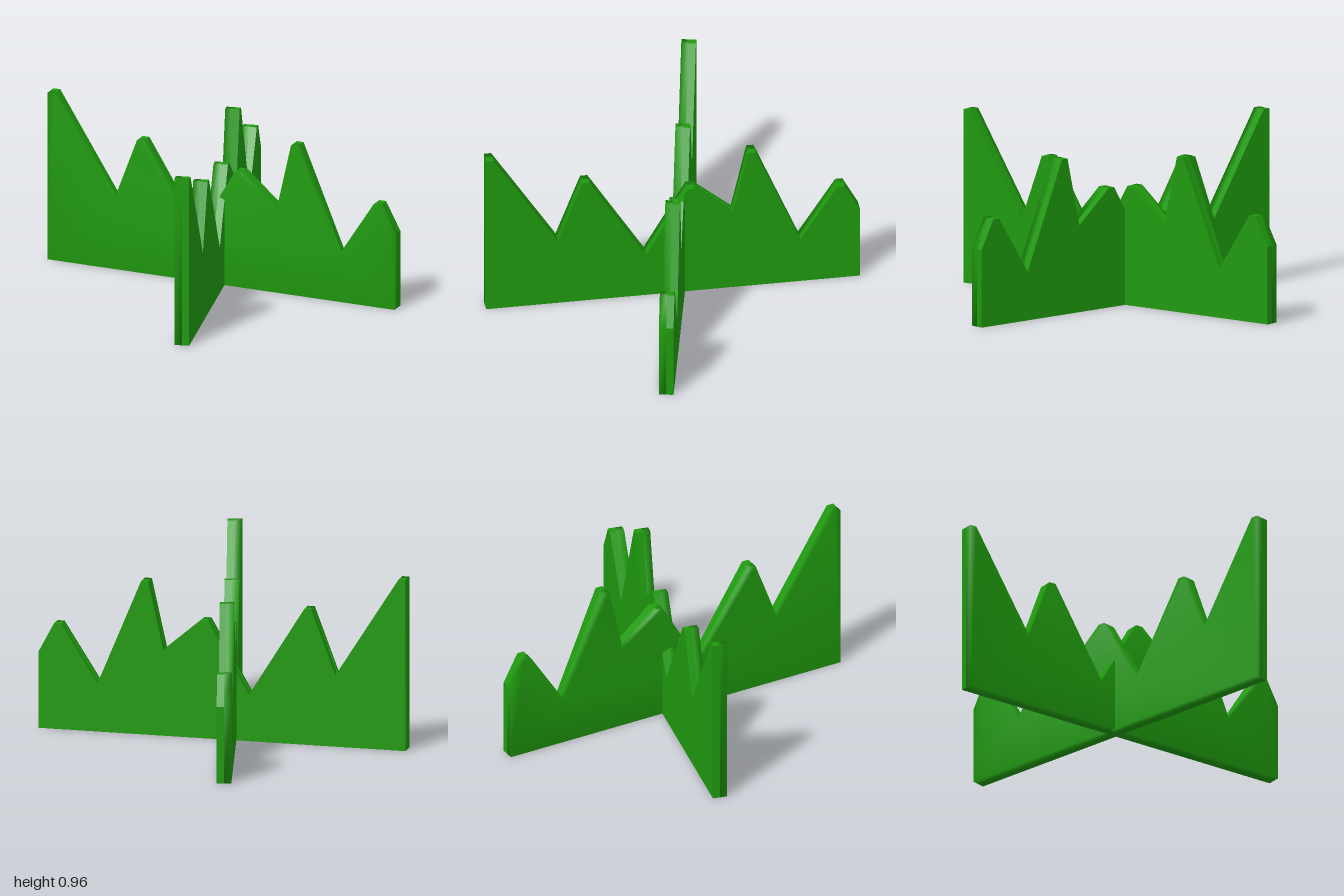
import * as THREE from 'three';
import { mergeVertices } from 'three/addons/utils/BufferGeometryUtils.js';

const HALF = 0.04; // half the thickness of a slab

// Jagged grass outline: distance along the slab, height
const OUTLINE = [
  [-1.03, 0], [1.03, 0], [1.03, 0.43], [0.945, 0.59], [0.905, 0.59], [0.70, 0.27],
  [0.455, 0.86], [0.415, 0.86], [0.33, 0.48], [0.12, 0.66], [0.08, 0.66], [-0.15, 0.26],
  [-0.46, 0.76], [-0.50, 0.76], [-0.635, 0.40], [-0.99, 0.96], [-1.03, 0.96],
];

const material = new THREE.MeshStandardMaterial({ color: 0x1f9a0e });

// One half of a slab, on the +z (side 1) or -z (side -1) side of its middle plane
function halfSlab(side, smooth) {
  const shape = new THREE.Shape(OUTLINE.map(([x, y]) => new THREE.Vector2(x, y)));
  const solid = new THREE.ExtrudeGeometry(shape, { depth: HALF, bevelEnabled: false });
  if (side < 0) solid.translate(0, 0, -HALF);

  // Drop the hidden cap on the middle plane
  const p = solid.attributes.position;
  const kept = [];
  for (let i = 0; i < p.count; i += 3) {
    const corners = [i, i + 1, i + 2];
    if (corners.every((c) => Math.abs(p.getZ(c)) < 1e-5)) continue;
    for (const c of corners) kept.push(p.getX(c), p.getY(c), p.getZ(c));
  }
  let geometry = new THREE.BufferGeometry();
  geometry.setAttribute('position', new THREE.Float32BufferAttribute(kept, 3));
  if (smooth) geometry = mergeVertices(geometry); // shared corners give soft shading
  geometry.computeVertexNormals();
  return geometry;
}

// A whole slab: one softly shaded half and one flat half
function grassSlab(name, smoothSide) {
  const slab = new THREE.Group();
  slab.name = name;
  for (const side of [1, -1]) {
    const mesh = new THREE.Mesh(halfSlab(side, side === smoothSide), material);
    mesh.name = side > 0 ? 'frontHalf' : 'backHalf';
    slab.add(mesh);
  }
  return slab;
}

export function createModel() {
  const model = new THREE.Group();
  model.name = 'grassTuft';

  // Slab running mostly front to back
  const lengthwise = grassSlab('lengthwiseBlades', -1);
  lengthwise.rotation.y = 1.286;
  lengthwise.position.set(-0.035, 0, 0);

  // Slab running mostly side to side
  const crosswise = grassSlab('crosswiseBlades', 1);
  crosswise.rotation.y = -0.508;
  crosswise.position.set(0, 0, -0.017);

  model.add(lengthwise, crosswise);
  return model;
}
